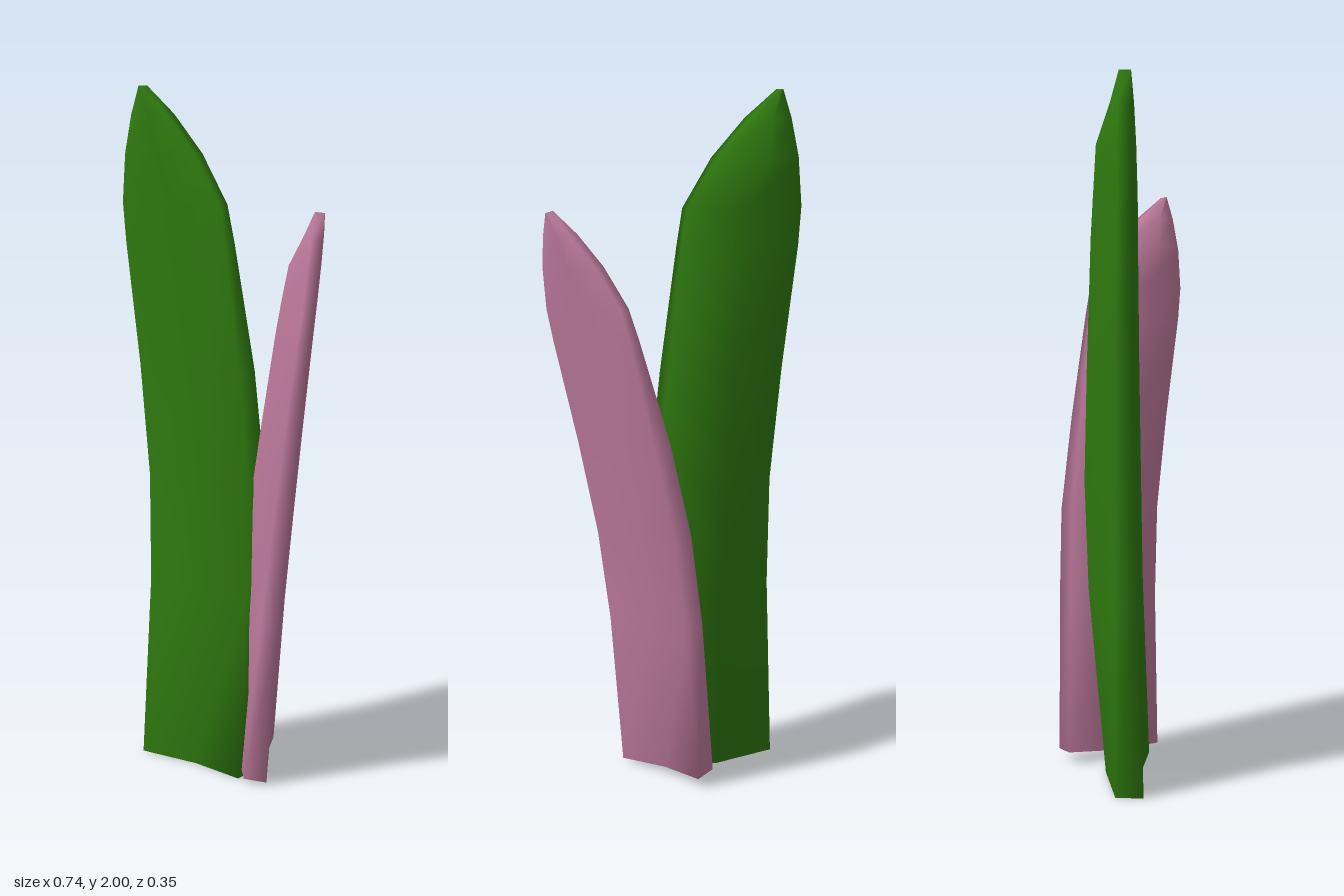
import * as THREE from 'three';

// Blade cross-sections from base to tip:
// y, left x, ridge x, right x, front edge z, front middle z, back left z, back ridge z, back right z
const SECTIONS = [
  [0.00, -0.290, -0.10, 0.070, 0.100, 0.083, 0.020, -0.020, 0.020],
  [0.55, -0.270, -0.09, 0.085, 0.078, 0.070, 0.015, -0.070, -0.010],
  [0.87, -0.275, -0.10, 0.085, 0.072, 0.068, 0.015, -0.080, -0.013],
  [1.20, -0.310, -0.13, 0.050, 0.068, 0.066, 0.018, -0.070, -0.008],
  [1.56, -0.360, -0.17, 0.000, 0.066, 0.066, 0.026, -0.055, 0.020],
  [1.67, -0.370, -0.18, -0.018, 0.066, 0.066, 0.030, -0.048, 0.030],
  [1.81, -0.359, -0.24, -0.105, 0.066, 0.066, 0.030, -0.035, 0.030],
  [1.92, -0.335, -0.27, -0.205, 0.065, 0.065, 0.030, 0.005, 0.030],
  [2.00, -0.309, -0.305, -0.301, 0.062, 0.062, 0.032, 0.030, 0.032],
];

// Loft a six-sided blade with a ridge down its back
function bladeGeometry() {
  const positions = [];
  const index = [];
  for (const [y, xl, xm, xr, zf, zfm, zbl, zbm, zbr] of SECTIONS) {
    positions.push(xl, y, zf, xm, y, zfm, xr, y, zf, xr, y, zbr, xm, y, zbm, xl, y, zbl);
  }
  const quad = (a, b, c, d) => index.push(a, b, c, a, c, d);
  const last = SECTIONS.length - 1;
  for (let i = 0; i < last; i++) {
    for (let j = 0; j < 6; j++) {
      const k = (j + 1) % 6;
      quad(i * 6 + j, i * 6 + k, i * 6 + 6 + k, i * 6 + 6 + j);
    }
  }
  // Base and tip caps share vertices so the shading rolls around the ends
  quad(5, 4, 1, 0);
  quad(4, 3, 2, 1);
  const t = last * 6;
  quad(t, t + 1, t + 4, t + 5);
  quad(t + 1, t + 2, t + 3, t + 4);
  const geometry = new THREE.BufferGeometry();
  geometry.setAttribute('position', new THREE.Float32BufferAttribute(positions, 3));
  geometry.setIndex(index);
  geometry.computeVertexNormals();
  return geometry;
}

export function createModel() {
  const group = new THREE.Group();
  group.name = 'leafPair';

  const green = new THREE.MeshStandardMaterial({ color: 0x2f7a0f });
  green.name = 'leaf green';
  const pink = new THREE.MeshStandardMaterial({ color: 0xbd7a9c });
  pink.name = 'dusty pink';

  // Tall upright leaf
  const tallLeaf = new THREE.Mesh(bladeGeometry(), green);
  tallLeaf.name = 'tallGreenLeaf';
  group.add(tallLeaf);

  // Shorter leaf: the same blade scaled, turned about y and leaning outward
  const geometry = bladeGeometry();
  geometry.applyMatrix4(new THREE.Matrix4().set(
    -0.423, 0.111, 0.714, -0.030,
    0.055, 0.825, -0.110, 0.035,
    -0.714, 0.002, -0.423, -0.075,
    0, 0, 0, 1,
  ));
  geometry.computeVertexNormals();
  const shortLeaf = new THREE.Mesh(geometry, pink);
  shortLeaf.name = 'shortPinkLeaf';
  group.add(shortLeaf);

  return group;
}
